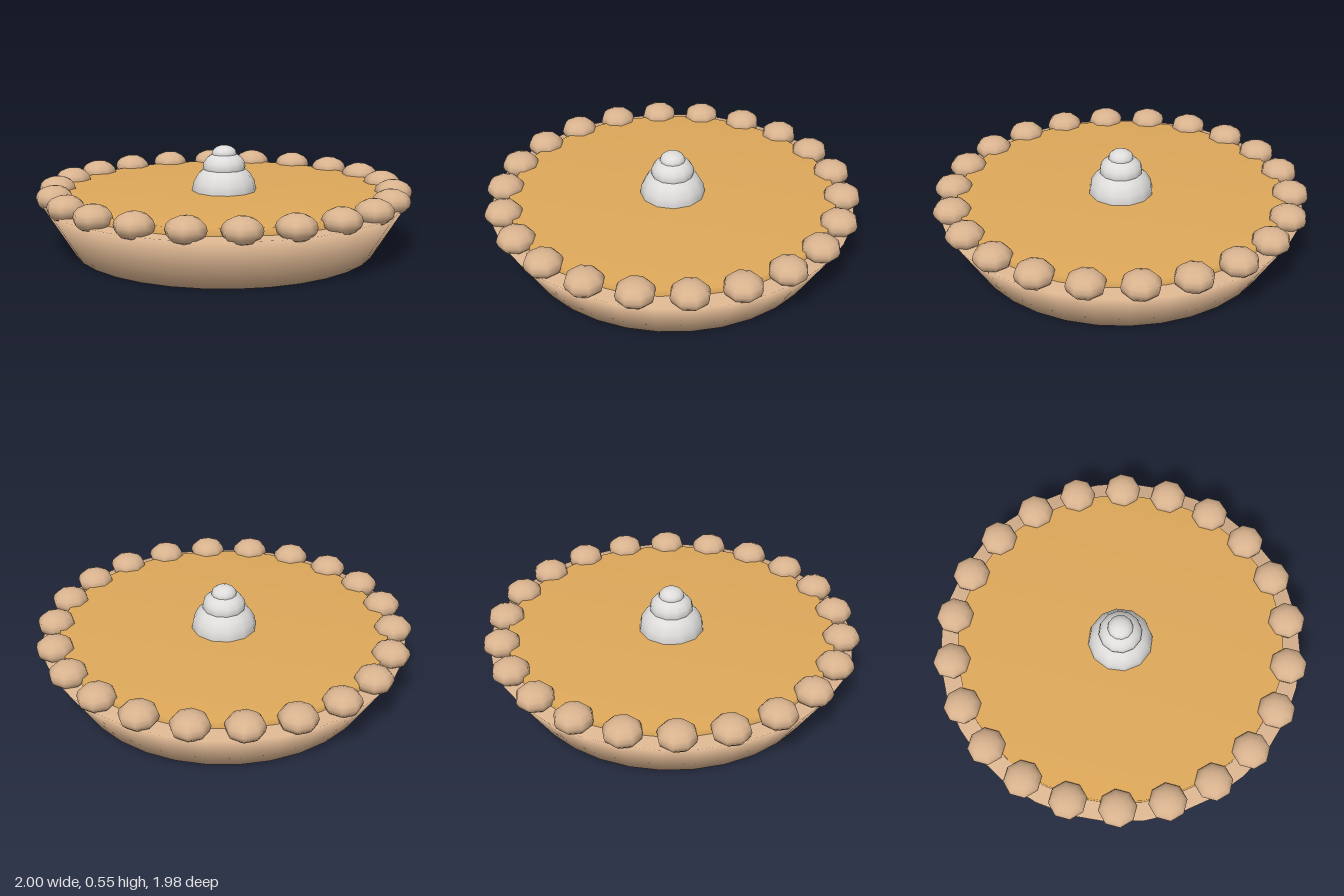
import * as THREE from 'three';

const material = (name, color) => {
  const m = new THREE.MeshStandardMaterial({ color });
  m.name = name;
  return m;
};

export function createModel() {
  const pie = new THREE.Group();
  pie.name = 'pie';
  const pastry = material('pastry', 0xd9b38f);
  const custard = material('custard', 0xdea85a);
  const cream = material('cream', 0xdedddb);

  const add = (name, geometry, mat, parent = pie) => {
    const mesh = new THREE.Mesh(geometry, mat);
    mesh.name = name;
    parent.add(mesh);
    return mesh;
  };
  const lathe = (points, sides) =>
    new THREE.LatheGeometry(points.map(([r, y]) => new THREE.Vector2(r, y)), sides);

  // Flared pastry shell, closed at the bottom and under the filling
  add('crust', lathe([[0, 0], [0.8, 0], [0.965, 0.27], [0, 0.27]], 32), pastry);

  // Shallow disc of filling with a soft edge
  add('filling', lathe([[0.87, 0.25], [0.87, 0.308], [0, 0.308]].map((p) => p), 32), custard);

  // Ring of squashed pastry beads around the rim
  const rim = new THREE.Group();
  rim.name = 'rimBeads';
  pie.add(rim);
  const beadGeometry = new THREE.SphereGeometry(0.1, 8, 8).scale(1, 0.67, 1);
  const beads = 22;
  for (let i = 0; i < beads; i++) {
    const a = (i / beads) * Math.PI * 2;
    add('rimBead', beadGeometry, pastry, rim)
      .position.set(0.9 * Math.cos(a), 0.306, 0.9 * Math.sin(a));
  }

  // Three stacked dollops of cream: radius, half height, centre height
  const topping = new THREE.Group();
  topping.name = 'creamTopping';
  pie.add(topping);
  [[0.173, 0.15, 0.31], [0.115, 0.082, 0.435], [0.067, 0.046, 0.504]].forEach(([r, h, y]) => {
    add('creamDollop', new THREE.SphereGeometry(r, 12, 10).scale(1, h / r, 1), cream, topping)
      .position.y = y;
  });

  return pie;
}
